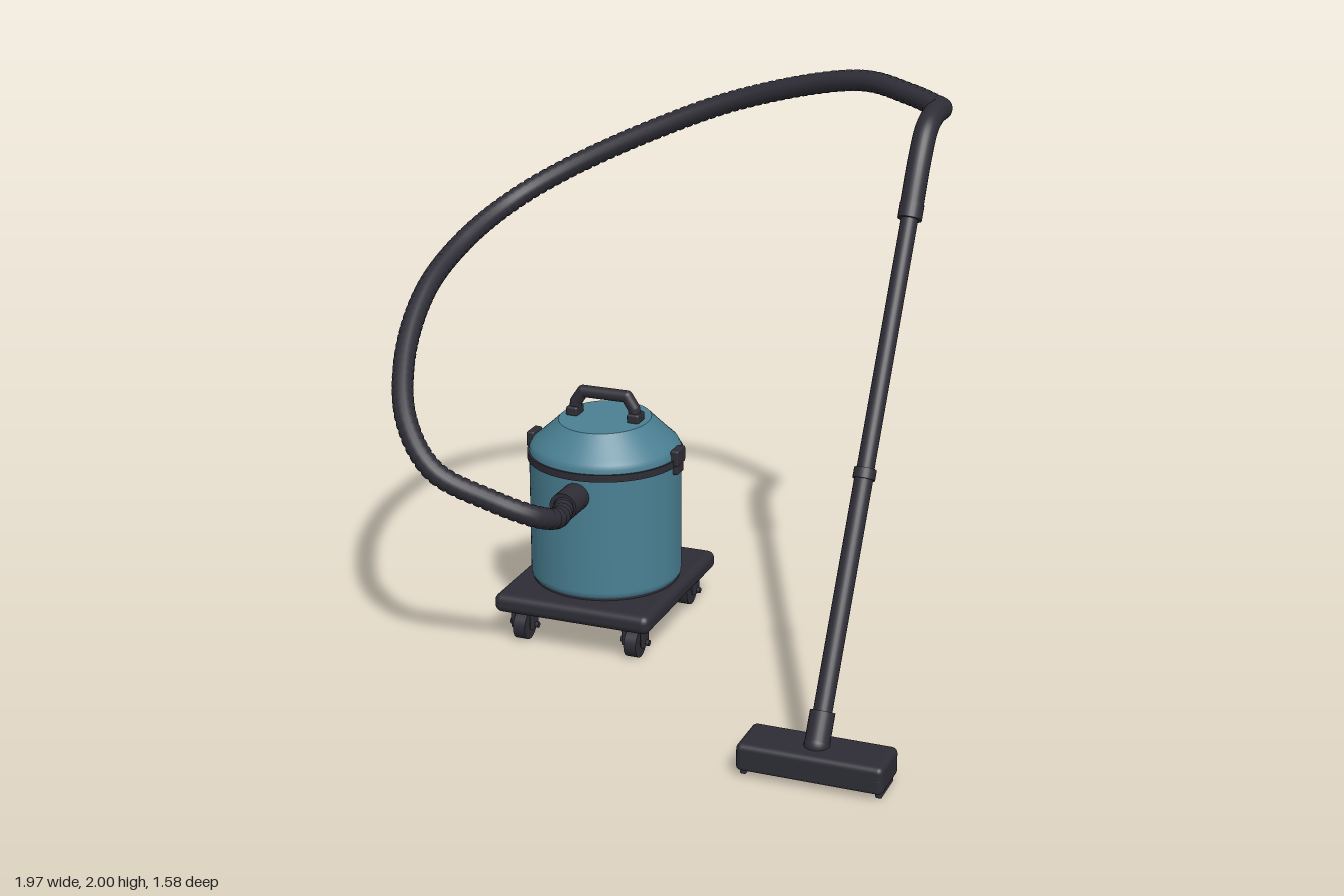
import * as THREE from 'three';
import { RoundedBoxGeometry } from 'three/addons/geometries/RoundedBoxGeometry.js';

const V = (x, y, z) => new THREE.Vector3(x, y, z);
const shell = new THREE.MeshStandardMaterial({ color: 0x4a8093, name: 'tealShell' });
const plastic = new THREE.MeshStandardMaterial({ color: 0x2e2d36, name: 'darkPlastic' });

export function createModel() {
  const model = new THREE.Group();
  model.name = 'vacuumCleaner';

  const add = (parent, name, geometry, material, x = 0, y = 0, z = 0) => {
    const mesh = new THREE.Mesh(geometry, material);
    mesh.name = name;
    mesh.position.set(x, y, z);
    parent.add(mesh);
    return mesh;
  };
  const group = (name, x = 0, y = 0, z = 0) => {
    const g = new THREE.Group();
    g.name = name;
    g.position.set(x, y, z);
    model.add(g);
    return g;
  };
  const box = (w, h, d, r) => new RoundedBoxGeometry(w, h, d, 3, r);
  // Straight round rod between two points
  const rod = (parent, name, a, b, r0, r1 = r0) => {
    const dir = b.clone().sub(a);
    const mesh = add(parent, name, new THREE.CylinderGeometry(r1, r0, dir.length(), 24), plastic);
    mesh.position.copy(a).add(b).multiplyScalar(0.5);
    mesh.quaternion.setFromUnitVectors(V(0, 1, 0), dir.normalize());
    return mesh;
  };

  // Wheeled base
  const cx = -0.365, cz = -0.19;
  const base = group('base', cx, 0, cz);
  add(base, 'platform', box(0.595, 0.07, 0.68, 0.028), plastic, 0, 0.155, 0);
  add(base, 'drumSeat', new THREE.CylinderGeometry(0.265, 0.265, 0.02, 64), plastic, 0, 0.195, 0);
  for (const sx of [-1, 1]) for (const sz of [-1, 1]) {
    const caster = new THREE.Group();
    caster.name = 'caster';
    caster.position.set(sx * 0.214, 0, sz * 0.25);
    base.add(caster);
    const wheel = new THREE.CylinderGeometry(0.053, 0.053, 0.045, 28).rotateZ(Math.PI / 2);
    add(caster, 'wheel', wheel, plastic, 0, 0.053, 0);
    const axle = new THREE.CylinderGeometry(0.011, 0.011, 0.11, 12).rotateZ(Math.PI / 2);
    add(caster, 'axle', axle, plastic, 0, 0.057, 0);
    add(caster, 'forkTop', box(0.09, 0.018, 0.06, 0.006), plastic, 0, 0.112, 0);
    for (const s of [-1, 1])
      add(caster, 'forkArm', box(0.014, 0.075, 0.05, 0.005), plastic, s * 0.036, 0.08, 0);
  }

  // Drum and domed lid, the lid narrowing to an oval top
  const body = group('body', cx, 0, cz);
  const drumProfile = [[0.262, 0.195], [0.271, 0.206], [0.272, 0.22], [0.272, 0.65]];
  add(body, 'drum', new THREE.LatheGeometry(drumProfile.map(p => new THREE.Vector2(...p)), 72), shell);
  add(body, 'sealBand', new THREE.CylinderGeometry(0.279, 0.279, 0.026, 72), plastic, 0, 0.655, 0);
  const lidProfile = [[0.272, 0.66], [0.271, 0.682], [0.264, 0.698], [0.25, 0.712], [0.217, 0.749], [0.183, 0.786]];
  const lid = new THREE.LatheGeometry(lidProfile.map(p => new THREE.Vector2(...p)), 72);
  const lp = lid.attributes.position;
  for (let i = 0; i < lp.count; i++) {
    const t = Math.max(0, (lp.getY(i) - 0.69) / 0.096);
    lp.setX(i, lp.getX(i) * (1 - 0.11 * t));
  }
  add(body, 'lidSlope', lid, shell);
  const lidTop = new THREE.CircleGeometry(0.183, 72).rotateX(-Math.PI / 2).scale(0.89, 1, 1);
  add(body, 'lidTop', lidTop, shell, 0, 0.786, 0);
  for (const s of [-1, 1]) {
    add(body, 'latchUpper', box(0.03, 0.058, 0.076, 0.007), plastic, s * 0.278, 0.676, 0);
    add(body, 'latchLower', box(0.022, 0.05, 0.06, 0.006), plastic, s * 0.278, 0.637, 0);
  }

  // Carrying handle
  const handle = group('carryHandle', cx, 0, cz);
  const corners = [V(-0.118, 0.79, 0), V(-0.112, 0.832, 0), V(-0.085, 0.873, 0),
    V(0.085, 0.873, 0), V(0.112, 0.832, 0), V(0.118, 0.79, 0)];
  corners.forEach((p, i) => {
    if (i) rod(handle, 'handleBar', corners[i - 1], p, 0.022);
    if (i && i < 5) add(handle, 'handleJoint', new THREE.SphereGeometry(0.022, 20, 14), plastic, p.x, p.y, p.z);
  });
  for (const s of [-1, 1])
    add(handle, 'handleFoot', box(0.045, 0.035, 0.064, 0.008), plastic, s * 0.118, 0.8, 0);

  // Hose port
  const hose = group('hoseAssembly');
  rod(hose, 'hosePort', V(cx, 0.58, 0.05), V(cx, 0.58, 0.19), 0.05);

  // Ribbed hose: tube rings alternately swell and shrink
  const path = new THREE.CatmullRomCurve3([
    V(-0.365, 0.58, 0.17), V(-0.338, 0.585, 0.3), V(-0.37, 0.625, 0.405), V(-0.5, 0.69, 0.475),
    V(-0.68, 0.79, 0.532), V(-0.81, 0.92, 0.465), V(-0.905, 1.08, 0.29), V(-0.95, 1.25, 0.03),
    V(-0.93, 1.365, -0.24), V(-0.85, 1.46, -0.46), V(-0.7, 1.56, -0.59), V(-0.4, 1.71, -0.705),
    V(-0.05, 1.85, -0.757), V(0.4, 1.96, -0.69), V(0.6, 1.945, -0.605), V(0.735, 1.922, -0.53)]);
  path.arcLengthDivisions = 1000;
  const rings = 480, sides = 16;
  const tube = new THREE.TubeGeometry(path, rings, 0.037, sides);
  const tp = tube.attributes.position;
  const v = V(0, 0, 0);
  for (let i = 0; i <= rings; i++) {
    const c = path.getPointAt(i / rings);
    const k = i % 4 === 0 ? 0.91 : 1.02;
    for (let j = 0; j <= sides; j++) {
      const n = i * (sides + 1) + j;
      v.fromBufferAttribute(tp, n).sub(c).multiplyScalar(k).add(c);
      tp.setXYZ(n, v.x, v.y, v.z);
    }
  }
  add(hose, 'hose', tube, plastic);

  // Bent grip and two-piece wand
  const wx = 0.735;
  const wand = group('wand');
  const bend = new THREE.CatmullRomCurve3([V(wx, 1.92, -0.53), V(wx, 1.917, -0.44), V(wx, 1.885, -0.355),
    V(wx, 1.8, -0.285), V(wx, 1.64, -0.194)]);
  add(wand, 'grip', new THREE.TubeGeometry(bend, 40, 0.039, 24), plastic);
  add(wand, 'gripElbow', new THREE.SphereGeometry(0.039, 24, 16), plastic, wx, 1.921, -0.527);
  const top = V(wx, 1.65, -0.2), low = V(wx, 0.14, 0.685);
  const at = t => top.clone().lerp(low, t);
  rod(wand, 'gripCollar', at(-0.01), at(0.02), 0.041);
  rod(wand, 'upperWand', at(0), at(0.52), 0.029);
  rod(wand, 'lowerWand', at(0.5), at(1), 0.031);
  rod(wand, 'wandJoint', at(0.502), at(0.522), 0.037);
  rod(wand, 'wandNeck', at(0.955), at(1.02), 0.041);

  // Floor nozzle: solid cap over an open suction frame
  const nozzle = group('floorNozzle', wx, 0, 0.7);
  add(nozzle, 'neckPivot', new THREE.SphereGeometry(0.042, 24, 16), plastic, 0, 0.115, 0);
  add(nozzle, 'nozzleCap', box(0.49, 0.065, 0.18, 0.02), plastic, 0, 0.0825, 0);
  const outline = (T, w, d, r) => {
    const s = new T();
    s.absarc(w - r, d - r, r, 0, Math.PI / 2);
    s.absarc(-w + r, d - r, r, Math.PI / 2, Math.PI);
    s.absarc(-w + r, -d + r, r, Math.PI, Math.PI * 1.5);
    s.absarc(w - r, -d + r, r, Math.PI * 1.5, Math.PI * 2);
    s.closePath();
    return s;
  };
  const rim = outline(THREE.Shape, 0.245, 0.09, 0.02);
  rim.holes.push(outline(THREE.Path, 0.195, 0.045, 0.01));
  const frame = new THREE.ExtrudeGeometry(rim, { depth: 0.035, bevelEnabled: true, bevelSize: 0.01,
    bevelThickness: 0.01, bevelOffset: -0.01, bevelSegments: 3, curveSegments: 6 });
  frame.rotateX(-Math.PI / 2);
  add(nozzle, 'suctionFrame', frame, plastic, 0, 0.034, 0);
  for (const s of [-1, 1])
    add(nozzle, 'skid', box(0.022, 0.035, 0.13, 0.006), plastic, s * 0.226, 0.0175, 0);

  return model;
}
